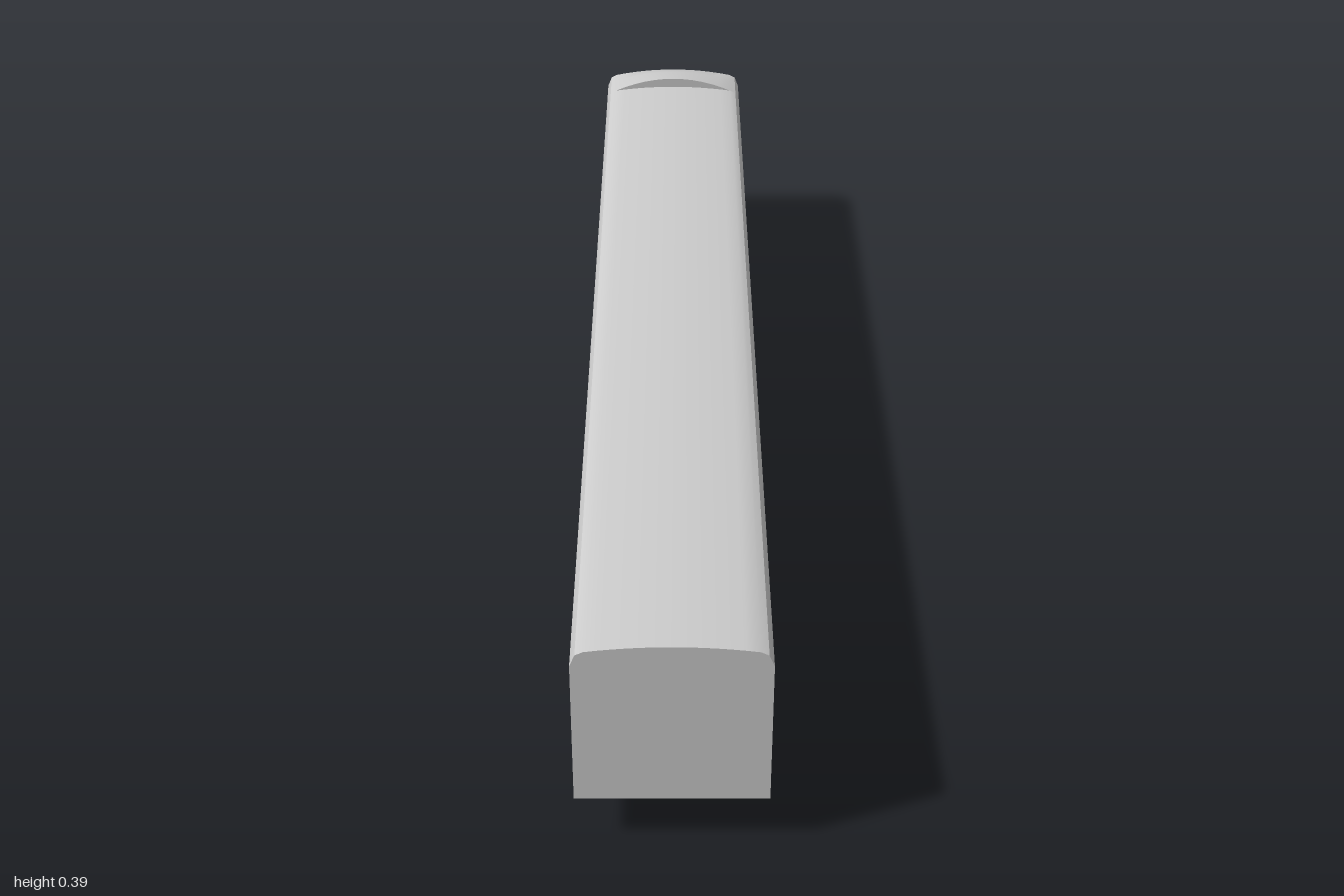
import * as THREE from 'three';
import { toCreasedNormals } from 'three/addons/utils/BufferGeometryUtils.js';

const material = new THREE.MeshStandardMaterial({ color: 0xcccccc, side: THREE.DoubleSide });

// Complete a half row of [x, y, z] points (outside to centre) with its mirror image
function mirrorRow(half) {
  const other = half.filter((p) => p[0] > 0).reverse();
  return [...half, ...other.map(([x, y, z]) => [-x, y, z])];
}

// Skin between successive rows that all have the same number of points
function loft(rows, crease = 0.5) {
  const n = rows[0].length;
  const index = [];
  for (let r = 0; r < rows.length - 1; r++) {
    for (let i = 0; i < n - 1; i++) {
      const a = r * n + i, c = a + n;
      index.push(a, c, a + 1, a + 1, c, c + 1);
    }
  }
  const geometry = new THREE.BufferGeometry();
  geometry.setAttribute('position', new THREE.Float32BufferAttribute(rows.flat(2), 3));
  geometry.setIndex(index);
  return toCreasedNormals(geometry, crease);
}

// Carriage cross-section: side walls, eased shoulder and arched crown
function section(z, crown, halfWidth = 0.145, shoulder = 0.366) {
  const half = [
    [halfWidth, 0.087, z],
    [halfWidth, shoulder - 0.026, z],
    [halfWidth - 0.008, shoulder - 0.006, z],
  ];
  const steps = 6;
  for (let i = 0; i <= steps; i++) {
    const t = 1 - i / steps;
    half.push([(halfWidth - 0.02) * t, shoulder + (crown - shoulder) * (1 - t * t), z]);
  }
  return mirrorRow(half);
}

export function createModel() {
  const group = new THREE.Group();
  const add = (name, geometry) => {
    const mesh = new THREE.Mesh(geometry, material);
    mesh.name = name;
    group.add(mesh);
    return mesh;
  };
  const endWall = (row) =>
    new THREE.ShapeGeometry(new THREE.Shape(row.map(([x, y]) => new THREE.Vector2(x, y))));

  // Long shell, open underneath
  const front = section(1, 0.375);
  const joint = section(-0.9, 0.375);
  add('bodyShell', loft([front, joint]));
  add('frontWall', endWall(front)).position.z = 1;

  // Raised cab roof and chamfered rear corners
  const cab = [
    section(-0.9, 0.394),
    section(-0.95, 0.388),
    section(-0.985, 0.379),
    section(-1, 0.37, 0.13, 0.358),
  ];
  add('cabShell', loft(cab));
  const rear = add('rearWall', endWall(cab[3]));
  rear.rotation.y = Math.PI;
  rear.position.z = -1;

  // Crescent step where the cab roof rises above the main roof
  add('roofStep', loft([joint.slice(3, -3), cab[0].slice(3, -3)]));

  // Thin side skirts leaning inwards, in three lengths per side
  const skirts = [[0.865, 0.54], [0.475, -0.5], [-0.515, -0.845]];
  for (const side of [1, -1]) {
    for (const [z0, z1] of skirts) {
      const rows = [z0, z1].map((z) => [
        [side * 0.126, 0.013, z],
        [side * 0.138, 0.087, z],
      ]);
      if (side < 0) rows.reverse();
      add(side > 0 ? 'leftSkirt' : 'rightSkirt', loft(rows));
    }
  }

  // Rear apron wrapping around the end, tapered with a bowed lower edge
  const apronTop = mirrorRow([
    [0.138, 0.081, -0.88], [0.138, 0.081, -0.985], [0.123, 0.081, -1], [0.05, 0.081, -1],
  ]);
  const apronBottom = mirrorRow([
    [0.126, 0.016, -0.88], [0.126, 0.012, -0.983], [0.114, 0.009, -0.997], [0.05, 0, -0.997],
  ]);
  add('rearApron', loft([apronTop, apronBottom].reverse().map((row) => row.slice().reverse()), 0.3));

  return group;
}
